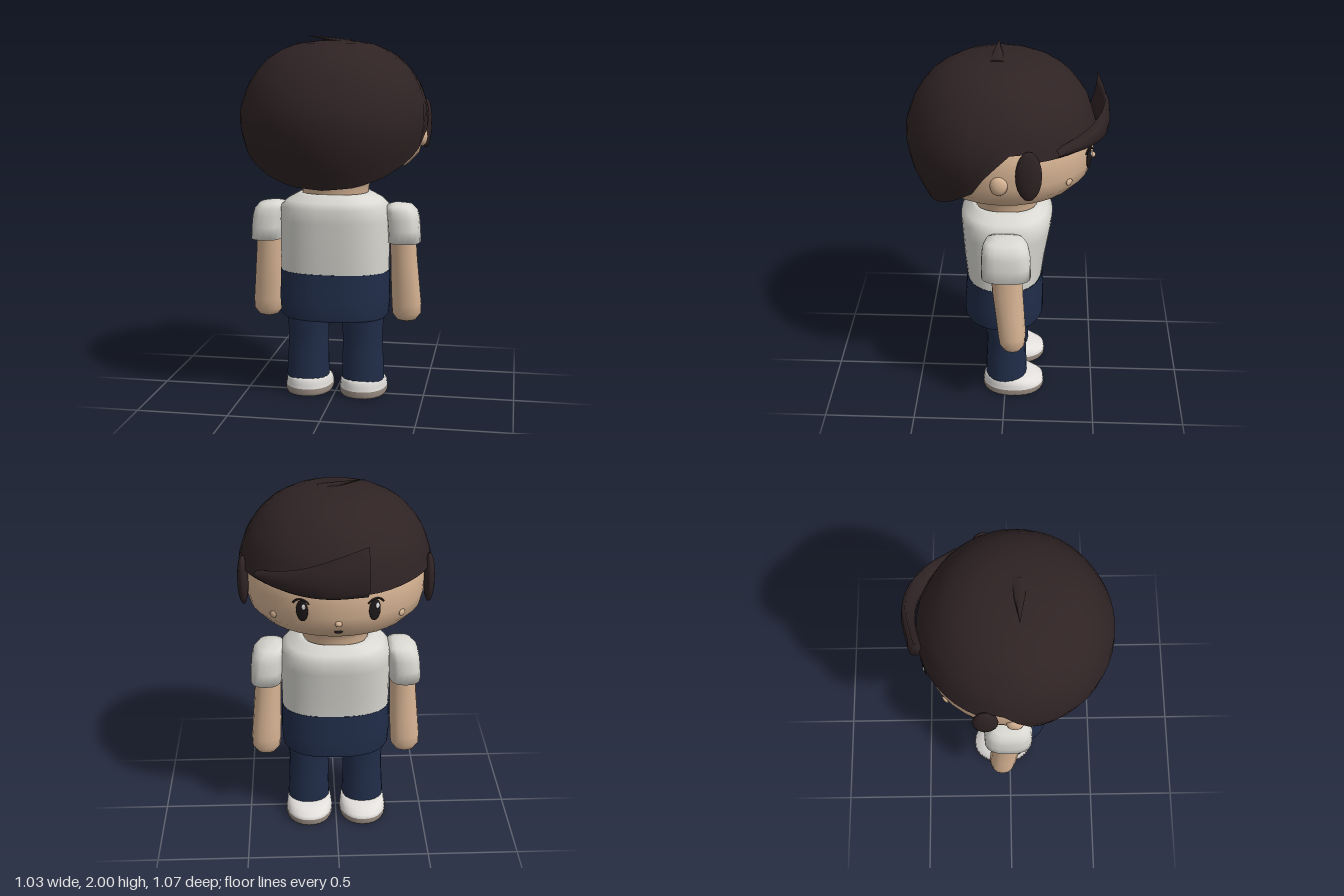
import * as THREE from 'three';
import { mergeVertices } from 'three/addons/utils/BufferGeometryUtils.js';

const mat = (name, color, side = THREE.DoubleSide) => {
  const m = new THREE.MeshStandardMaterial({ color, side });
  m.name = name;
  return m;
};

// Smooth surface from a function p(u, v) -> [x, y, z]
function grid(p, nu, nv) {
  const pos = [], idx = [];
  for (let j = 0; j <= nv; j++)
    for (let i = 0; i <= nu; i++) pos.push(...p(i / nu, j / nv));
  for (let j = 0; j < nv; j++)
    for (let i = 0; i < nu; i++) {
      const a = j * (nu + 1) + i, b = a + nu + 1;
      idx.push(a, b, a + 1, b, b + 1, a + 1);
    }
  let g = new THREE.BufferGeometry();
  g.setAttribute('position', new THREE.Float32BufferAttribute(pos, 3));
  g.setIndex(idx);
  g = mergeVertices(g, 1e-5);
  g.computeVertexNormals();
  return g;
}

// Stacked oval rings [y, rx, rz, cx, cz], bottom to top; n > 2 squares the oval
function loft(rings, n = 2, seg = 28) {
  const f = (c) => Math.sign(c) * Math.pow(Math.abs(c), 2 / n);
  return grid((u, v) => {
    const [y, rx, rz, cx = 0, cz = 0] = rings[Math.round(v * (rings.length - 1))];
    const a = (u % 1) * Math.PI * 2;
    return [cx + rx * f(Math.cos(a)), y, cz + rz * f(Math.sin(a))];
  }, seg, rings.length - 1);
}

// Linear lookup in a list of [key, value]
function lookup(table, k) {
  for (let i = 1; i < table.length; i++) {
    const [a, va] = table[i - 1], [b, vb] = table[i];
    if (k <= b) return va + (vb - va) * Math.max(0, (k - a) / (b - a));
  }
  return table[table.length - 1][1];
}

export function createModel() {
  const root = new THREE.Group();
  const hair = mat('hair', 0x2f2324), skin = mat('skin', 0xd6b393);
  const shirt = mat('shirt', 0xd9d8d2), navy = mat('trousers', 0x202d49);
  const shoeWhite = mat('shoe', 0xe2dfdc), soleTone = mat('sole', 0x9a8d83);
  const dark = mat('eye', 0x1d1718), white = mat('highlight', 0xffffff);
  const add = (name, geo, m, parent = root) => {
    const mesh = new THREE.Mesh(geo, m);
    mesh.name = name;
    parent.add(mesh);
    return mesh;
  };

  // Neck and head in one flowing shape
  const profile = [[1.13, 0.18], [1.18, 0.185], [1.235, 0.205], [1.265, 0.29], [1.31, 0.4],
    [1.37, 0.458], [1.44, 0.476], [1.52, 0.482], [1.6, 0.476], [1.7, 0.43], [1.8, 0.34], [1.88, 0.01]];
  add('head', loft(profile.map(([y, r]) => [y, r, r * 0.965]), 2, 36), skin);

  // Hair cap with a hem that runs low at the nape and high over the face
  const rad = Math.PI / 180;
  const hem = [[0, 1.21], [25, 1.225], [45, 1.27], [60, 1.33], [75, 1.41], [85, 1.54], [93, 1.6],
    [101, 1.66], [112, 1.59], [130, 1.585], [155, 1.57], [180, 1.565]];
  const capR = [[1.21, 0.4], [1.365, 0.475], [1.51, 0.512], [1.6, 0.512], [1.735, 0.468],
    [1.8, 0.425], [1.87, 0.365], [1.92, 0.285], [1.95, 0.21], [1.965, 0.12], [1.972, 0]];
  add('hairCap', grid((u, v) => {
    const a = (u % 1) * Math.PI * 2 + Math.PI;
    const off = Math.abs((a / rad + 180) % 360 - 180);
    const low = lookup(hem, off);
    const y = low + (1.972 - low) * Math.sin(v * Math.PI / 2);
    const r = lookup(capR, y);
    return [-r * Math.sin(a), y, 0.03 + r * 0.98 * Math.cos(a)];
  }, 48, 14), hair);

  // Curled forelock sweeping across the brow
  const sweep = new THREE.CatmullRomCurve3([[-0.155, -0.5], [0.03, -0.538], [0.17, -0.515],
    [0.31, -0.425], [0.425, -0.275]].map(([x, z]) => new THREE.Vector3(x, 0, z)));
  const section = [[0.065, 0], [0.03, -0.02], [0.008, 0.12], [0, 0.45], [0.008, 0.75],
    [0.03, 1], [0.032, 0.75], [0.045, 0.5], [0.065, 0.3], [0.065, 0]];
  add('forelock', grid((u, v) => {
    const row = Math.round(v * 20), t = Math.max(0, row - 1) / 19;
    const p = sweep.getPoint(t);
    const inward = new THREE.Vector3(-p.x, 0, -p.z).normalize();
    const [d, h] = section[Math.round(u * 9)];
    const bottom = 1.57 + 0.02 * t, top = 1.83 - 0.2 * t;
    const k = row === 0 ? 0 : 1;
    p.addScaledVector(inward, k ? d : 0.035);
    return [p.x, bottom + (top - bottom) * (k ? h : 0.4), p.z];
  }, 9, 20), hair);

  // Crown tuft
  const tuft = add('crownTuft', new THREE.ConeGeometry(0.05, 0.25, 8), hair);
  tuft.scale.set(0.35, 1, 0.9);
  tuft.position.set(-0.035, 1.976, 0.045);
  tuft.rotation.z = Math.PI / 2 - 0.17;

  // Places a thin part on the face surface, its local +z pointing outwards
  const onFace = (mesh, x, y, lift = 0.002) => {
    const r = lookup(profile, y), rz = r * 0.965;
    const z = -rz * Math.sqrt(1 - (x / r) ** 2);
    const n = new THREE.Vector3(x / r ** 2, 0, z / rz ** 2).normalize();
    mesh.position.set(x, y, z).addScaledVector(n, lift);
    mesh.rotation.set(0, Math.atan2(n.x, n.z), 0);
    return mesh;
  };
  const oval = (name, m, w, h, d) => {
    const mesh = add(name, new THREE.SphereGeometry(1, 16, 10), m);
    mesh.scale.set(w, h, d);
    return mesh;
  };
  onFace(oval('nose', skin, 0.018, 0.015, 0.015), 0, 1.415, 0.006);
  onFace(oval('mouth', dark, 0.022, 0.009, 0.008), 0, 1.362, 0.004);

  for (const s of [1, -1]) {
    const side = s > 0 ? 'left' : 'right';

    // Eyes with highlight, lash and brow
    onFace(oval(side + 'Eye', dark, 0.032, 0.058, 0.008), s * 0.18, 1.48, 0.004);
    onFace(oval(side + 'EyeHighlight', white, 0.01, 0.015, 0.004), s * 0.18 - 0.01, 1.505, 0.011);
    const arc = new THREE.TorusGeometry(0.05, 0.005, 6, 14, 2);
    arc.rotateZ(Math.PI / 2 - 1);
    onFace(add(side + 'Lash', arc, dark), s * 0.185, 1.492, 0.005);
    onFace(oval(side + 'Brow', hair, 0.04, 0.006, 0.006), s * 0.2, 1.572, 0.003);
    onFace(oval(side + 'Cheek', skin, 0.022, 0.018, 0.008), s * 0.325, 1.415, 0.005);

    // Ears and sideburns
    oval(side + 'Ear', skin, 0.03, 0.052, 0.045).position.set(s * 0.475, 1.46, 0.02);
    oval(side + 'Sideburn', hair, 0.03, 0.135, 0.066).position.set(s * 0.485, 1.52, -0.128);

    // Arms and sleeves
    add(side + 'Arm', loft([[0.41, 0.001, 0.001, s * 0.395, -0.05], [0.43, 0.055, 0.05, s * 0.395, -0.048],
      [0.465, 0.08, 0.07, s * 0.395, -0.046], [0.52, 0.083, 0.076, s * 0.394, -0.044],
      [0.62, 0.08, 0.078, s * 0.388, -0.035], [0.78, 0.074, 0.082, s * 0.38, -0.02],
      [1.0, 0.07, 0.085, s * 0.37, -0.01]], 2.2, 16), skin);
    add(side + 'Sleeve', loft([[0.9, 0.07, 0.08, s * 0.38, -0.012], [0.88, 0.088, 0.132, s * 0.385, -0.012],
      [0.95, 0.088, 0.132, s * 0.382, -0.012], [1.01, 0.088, 0.128, s * 0.376, -0.01],
      [1.05, 0.085, 0.12, s * 0.368, -0.008], [1.08, 0.07, 0.1, s * 0.355, -0.004],
      [1.09, 0.03, 0.05, s * 0.345, 0], [1.092, 0.001, 0.001, s * 0.34, 0]], 2.7, 20), shirt);

    // Legs
    add(side + 'Leg', loft([[0.09, 0.118, 0.115, s * 0.157, -0.005], [0.11, 0.12, 0.118, s * 0.157, -0.005],
      [0.25, 0.114, 0.112, s * 0.155, -0.005], [0.35, 0.112, 0.108, s * 0.153, -0.005],
      [0.42, 0.118, 0.117, s * 0.153, 0], [0.55, 0.12, 0.12, s * 0.15, 0]], 2.2, 20), navy);

    // Shoes
    add(side + 'Sole', loft([[0, 0.001, 0.001, s * 0.155, -0.045], [0, 0.13, 0.168, s * 0.155, -0.045],
      [0.015, 0.135, 0.175, s * 0.155, -0.046], [0.04, 0.134, 0.174, s * 0.155, -0.046]], 2.2), soleTone);
    add(side + 'Shoe', loft([[0.038, 0.133, 0.173, s * 0.155, -0.046], [0.06, 0.13, 0.17, s * 0.155, -0.046],
      [0.082, 0.126, 0.146, s * 0.155, -0.026], [0.1, 0.115, 0.118, s * 0.155, -0.008],
      [0.102, 0.001, 0.001, s * 0.155, 0]], 2.2), shoeWhite);
  }

  // Shirt body and trouser top
  add('shirtBody', loft([[0.72, 0.3, 0.21, 0, 0.01], [0.85, 0.301, 0.225, 0, 0.008], [1.0, 0.302, 0.243, 0, 0],
    [1.075, 0.298, 0.25, 0, -0.002], [1.11, 0.265, 0.225, 0, 0], [1.14, 0.21, 0.19], [1.153, 0.185, 0.178],
    [1.14, 0.17, 0.165]], 2.5, 40), shirt);
  add('trouserTop', loft([[0.46, 0.288, 0.215, 0, 0.01], [0.475, 0.3, 0.222, 0, 0.012],
    [0.56, 0.306, 0.221, 0, 0.012], [0.65, 0.303, 0.215, 0, 0.01], [0.72, 0.301, 0.212, 0, 0.01]], 2.5, 40), navy);

  return root;
}
